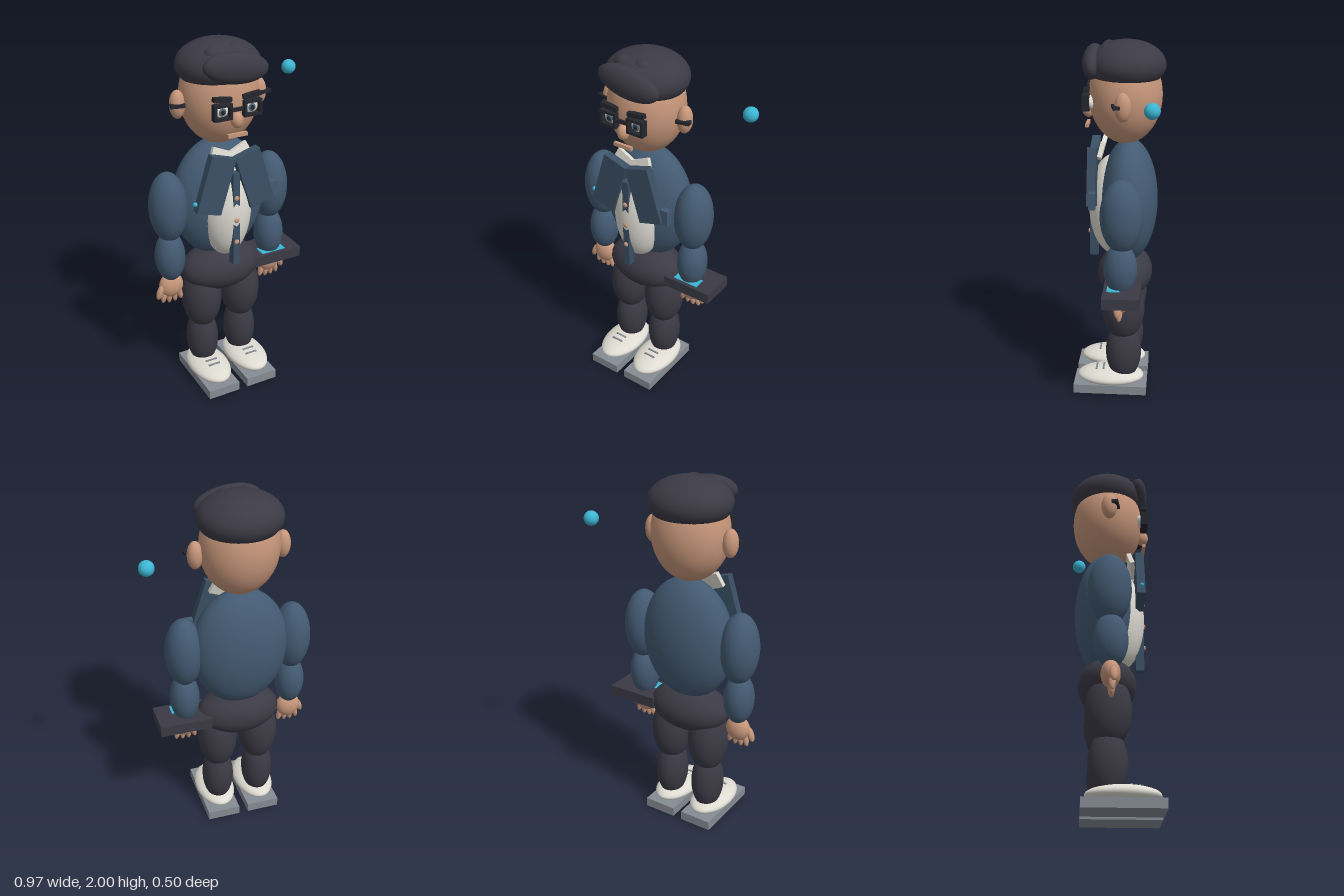
import * as THREE from 'three';

const mat = (name, color) => {
  const m = new THREE.MeshStandardMaterial({ color });
  m.name = name;
  return m;
};

export function createModel() {
  const skin = mat('skin', 0xc6967a);
  const jacket = mat('jacket blue', 0x435a72);
  const lapelBlue = mat('lapel blue', 0x3a4f63);
  const trousers = mat('charcoal', 0x3b3a45);
  const black = mat('frame black', 0x25262d);
  const white = mat('off white', 0xdedcd2);
  const grey = mat('sole grey', 0x868c94);
  const teal = mat('teal', 0x3cb6d4);
  const iris = mat('iris grey', 0x52687c);

  const model = new THREE.Group();
  model.name = 'standingMan';
  // the body stands left of centre because of the floating ball and tablet
  const body = new THREE.Group();
  body.name = 'body';
  body.position.x = -0.076;
  model.add(body);

  const add = (name, geo, m, p, r = [0, 0, 0], parent = body) => {
    const mesh = new THREE.Mesh(geo, m);
    mesh.name = name;
    mesh.position.set(...p);
    mesh.rotation.set(...r);
    parent.add(mesh);
    return mesh;
  };
  const ball = (name, m, p, radii, r, parent) =>
    add(name, new THREE.SphereGeometry(1, 36, 24).scale(...radii), m, p, r, parent);
  const box = (name, m, p, size, r, parent) =>
    add(name, new THREE.BoxGeometry(...size), m, p, r, parent);

  // head and hair
  ball('head', skin, [0, 1.71, -0.035], [0.212, 0.262, 0.198]);
  ball('hairCap', trousers, [0, 1.87, -0.04], [0.226, 0.13, 0.21]);
  ball('fringe', trousers, [0.012, 1.887, 0.135], [0.183, 0.082, 0.058], [0, 0, -0.13]);
  ball('nose', skin, [0, 1.628, 0.165], [0.032, 0.043, 0.034]);
  box('mouth', skin, [0, 1.55, 0.17], [0.11, 0.02, 0.018]);
  box('glassesBridge', black, [0, 1.685, 0.165], [0.075, 0.018, 0.02]);

  // torso
  ball('torso', jacket, [0, 1.12, -0.055], [0.27, 0.348, 0.16]);
  ball('shirt', white, [0, 1.09, 0.03], [0.143, 0.29, 0.138]);
  box('placket', lapelBlue, [0, 1.06, 0.141], [0.038, 0.54, 0.046]);
  for (const y of [1.19, 1.06, 0.93]) ball('button', skin, [0, y, 0.166], [0.014, 0.014, 0.009]);
  ball('hips', trousers, [0, 0.695, -0.035], [0.236, 0.135, 0.155]);
  box('pocket', jacket, [0.236, 1.185, 0.127], [0.045, 0.09, 0.035]);
  ball('lapelPin', teal, [-0.23, 1.196, 0.14], [0.012, 0.012, 0.012]);

  // rectangular spectacle frame with an opening
  const frame = new THREE.Shape();
  frame.moveTo(-0.05, -0.042).lineTo(0.05, -0.042).lineTo(0.05, 0.042).lineTo(-0.05, 0.042).closePath();
  const hole = new THREE.Path();
  hole.moveTo(-0.036, -0.028).lineTo(-0.036, 0.028).lineTo(0.036, 0.028).lineTo(0.036, -0.028).closePath();
  frame.holes.push(hole);
  const frameGeo = new THREE.ExtrudeGeometry(frame, { depth: 0.04, bevelEnabled: false });

  for (const s of [-1, 1]) {
    // face
    ball('ear', skin, [s * 0.236, 1.687, -0.035], [0.041, 0.076, 0.044]);
    ball('hairTuft', trousers, [0.015 - 0.03 + s * 0.057, 1.945, 0.06], [0.056, 0.043, 0.039]);
    add('glassesFrame', frameGeo, black, [s * 0.084, 1.684, 0.148]);
    box('glassesTemple', black, [s * 0.25, 1.692, 0], [0.075, 0.018, 0.035], [0, s * 0.2, 0]);
    ball('eye', white, [s * 0.084, 1.684, 0.145], [0.046, 0.038, 0.026]);
    ball('iris', iris, [s * 0.083, 1.684, 0.17], [0.02, 0.021, 0.006]);
    ball('pupil', black, [s * 0.083, 1.684, 0.175], [0.011, 0.012, 0.005]);
    box('eyebrow', black, [s * 0.083, 1.748, 0.165], [0.1, 0.023, 0.028], [0, 0, s * 0.1]);

    // collar and lapels
    box('collar', white, [s * 0.055, 1.41, 0.094], [0.12, 0.085, 0.025], [-0.25, 0, s * 0.4]);
    box('lapel', lapelBlue, [s * 0.114, 1.28, 0.137], [0.145, 0.315, 0.046], [0, 0, s * 0.3]);

    // arms
    ball('upperArm', jacket, [s * 0.308, 1.125, -0.035], [0.104, 0.2, 0.115]);
    ball('forearm', jacket, [s * 0.31, 0.83, -0.03], [0.083, 0.148, 0.09]);

    // hand with four fingers and a thumb
    const hand = new THREE.Group();
    hand.name = 'hand';
    hand.position.set(s * 0.31, 0.64, -0.03);
    body.add(hand);
    ball('palm', skin, [0, 0.005, 0], [0.07, 0.072, 0.05], undefined, hand);
    for (let i = 0; i < 4; i++) {
      const t = i - 1.5;
      ball('finger', skin, [s * t * 0.031, -0.06 + Math.abs(t) * 0.006, 0.005],
        [0.016, 0.048, 0.018], [0, 0, s * t * 0.14], hand);
    }
    ball('thumb', skin, [s * 0.073, -0.02, 0.012], [0.018, 0.045, 0.02], [0, 0, s * 0.35], hand);

    // legs
    ball('thigh', trousers, [s * 0.122, 0.52, -0.033], [0.112, 0.2, 0.122]);
    ball('shin', trousers, [s * 0.122, 0.24, -0.035], [0.09, 0.18, 0.102]);

    // shoes
    box('sole', grey, [s * 0.122, 0.0265, 0.04], [0.19, 0.053, 0.42]);
    ball('shoe', white, [s * 0.122, 0.083, 0.04], [0.113, 0.05, 0.192]);
    for (const z of [0.08, 0.12]) {
      const y = 0.083 + 0.05 * Math.sqrt(1 - ((z - 0.04) / 0.192) ** 2);
      box('lace', grey, [s * 0.122, y, z], [0.07, 0.008, 0.01], [0.1, 0, 0]);
    }
  }

  // tablet held by the left hand
  box('tablet', trousers, [0.253, 0.695, -0.04], [0.295, 0.062, 0.2], undefined, model);
  box('tabletScreen', teal, [0.235, 0.727, 0.005], [0.15, 0.005, 0.07], undefined, model);

  // floating ball
  ball('floatingBall', teal, [0.444, 1.733, -0.196], [0.04, 0.04, 0.04], undefined, model);

  return model;
}
